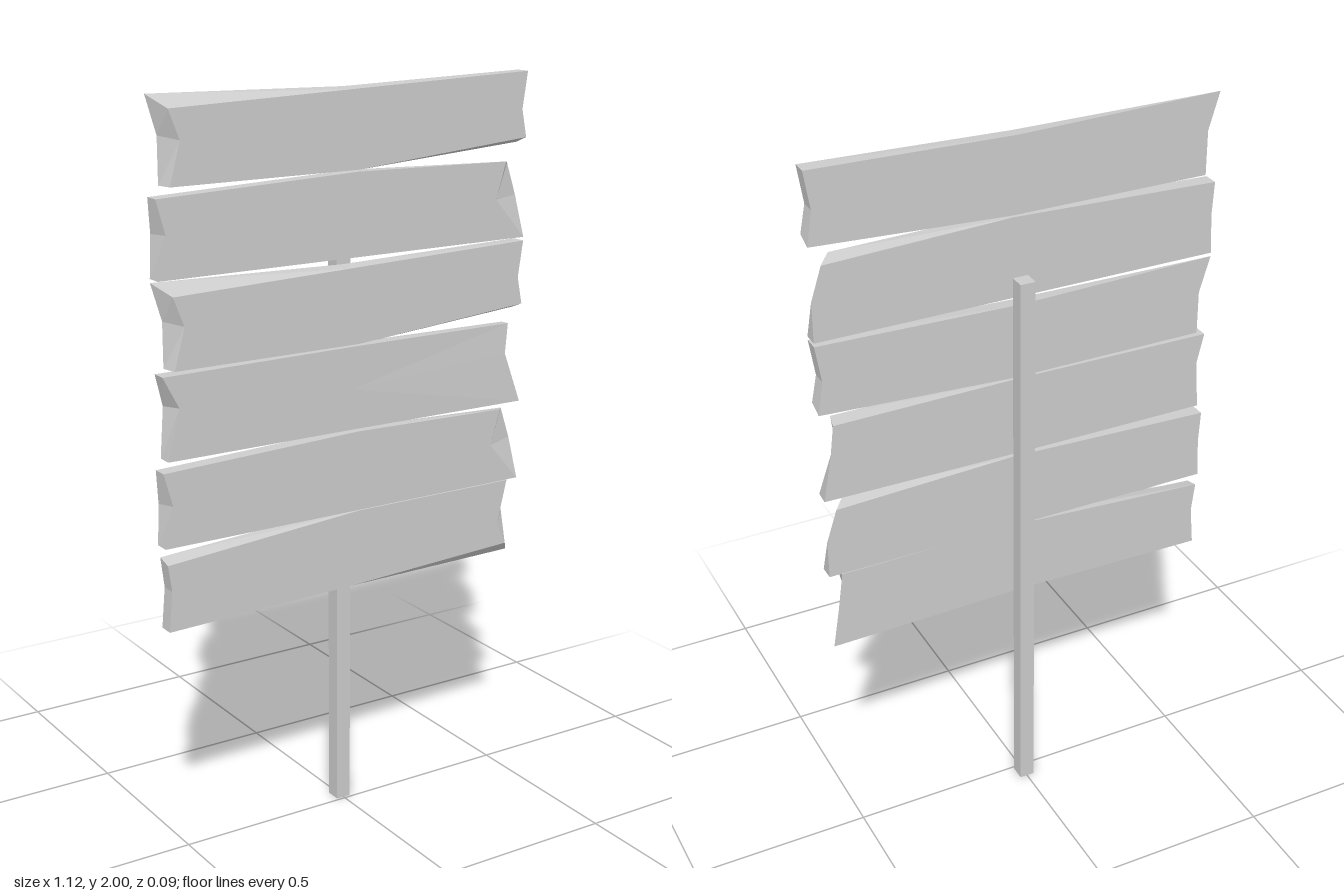
import * as THREE from 'three';

const material = new THREE.MeshStandardMaterial({ color: 0xcccccc, flatShading: true });
const BACK = -0.007, FRONT = 0.035;

// Outlines run counter-clockwise: bottom left, bottom middle, bottom right,
// right middle, top right, top middle, top left, left middle.
// Heights are measured from the plank's lower edge.
const slanted = {
  front: [[-0.52, 0], [0.02, 0], [0.555, 0.045], [0.54, 0.12], [0.555, 0.22], [0, 0.203], [-0.52, 0.187], [-0.49, 0.11]],
  back: [[-0.53, 0], [0.02, 0], [0.555, 0.028], [0.54, 0.12], [0.555, 0.22], [0, 0.207], [-0.56, 0.22], [-0.53, 0.12]],
};
const chipped = {
  front: [[-0.56, 0], [0, 0], [0.555, 0], [0.46, 0.11], [0.49, 0.21], [0.02, 0.22], [-0.56, 0.2], [-0.535, 0.11]],
  back: [[-0.56, 0], [0, 0], [0.555, 0], [0.555, 0.11], [0.525, 0.2], [0.02, 0.22], [-0.56, 0.2], [-0.555, 0.11]],
};
const notched = {
  front: [[-0.545, 0], [0, 0], [0.55, 0, 0.043], [0.5, 0.14, 0.038], [0.51, 0.225], [0, 0.225], [-0.555, 0.22], [-0.51, 0.135]],
  back: [[-0.545, 0], [0, 0], [0.555, 0.005], [0.53, 0.14], [0.52, 0.22], [0, 0.225], [-0.555, 0.22], [-0.535, 0.135]],
};
const wedged = {
  front: [[-0.555, 0], [0, 0.014], [0.52, 0.037], [0.49, 0.1], [0.52, 0.225], [0.02, 0.225], [-0.555, 0.182], [-0.545, 0.11]],
  back: [[-0.555, 0], [0, 0.01], [0.555, 0], [0.535, 0.12], [0.52, 0.225], [0.02, 0.228], [-0.555, 0.193], [-0.545, 0.11]],
};

// Joins a front and a back outline into a closed solid
function plankGeometry({ front, back }) {
  const n = front.length;
  const positions = [
    ...front.map(([x, y, z = FRONT]) => [x, y, z]),
    ...back.map(([x, y]) => [x, y, BACK]),
    [0, 0.11, FRONT], [0, 0.11, BACK],
  ].flat();
  const index = [];
  for (let i = 0; i < n; i++) {
    const j = (i + 1) % n;
    index.push(2 * n, i, j, 2 * n + 1, n + j, n + i); // faces
    index.push(i, n + i, n + j, i, n + j, j); // rim
  }
  const indexed = new THREE.BufferGeometry();
  indexed.setAttribute('position', new THREE.Float32BufferAttribute(positions, 3));
  indexed.setIndex(index);
  const geometry = indexed.toNonIndexed();
  geometry.computeVertexNormals();
  return geometry;
}

export function createModel() {
  const group = new THREE.Group();

  // Square post behind the planks
  const post = new THREE.Mesh(new THREE.BoxGeometry(0.042, 1.61, 0.043), material);
  post.name = 'post';
  post.position.set(0, 0.805, -0.0285);
  group.add(post);

  // Stack of rough planks, bottom to top
  const planks = [
    [wedged, 0.64], [chipped, 0.867], [notched, 1.095],
    [slanted, 1.325], [chipped, 1.555], [slanted, 1.78],
  ];
  planks.forEach(([outline, y], i) => {
    const plank = new THREE.Mesh(plankGeometry(outline), material);
    plank.name = `plank${i + 1}`;
    plank.position.y = y;
    group.add(plank);
  });
  return group;
}
